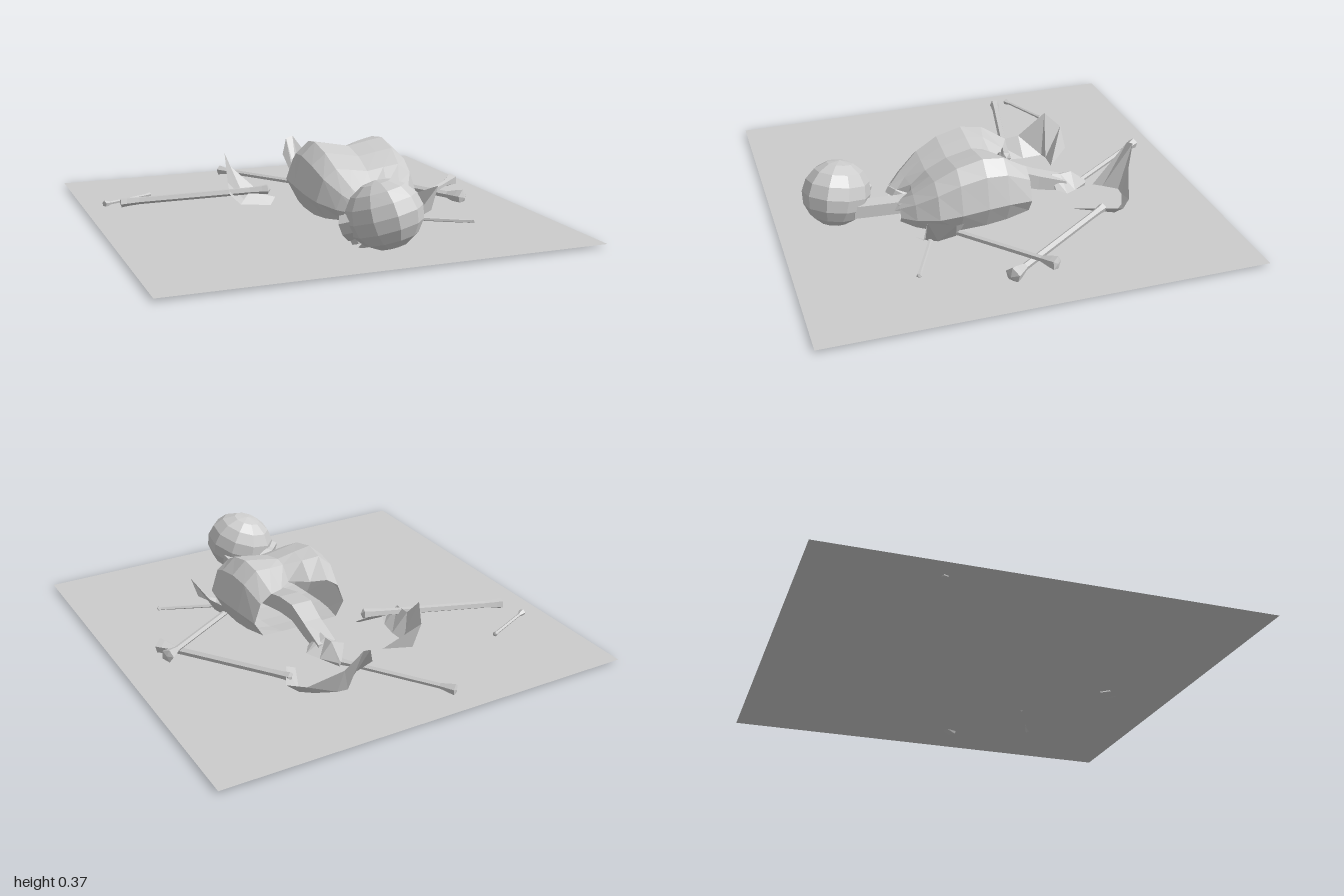
import * as THREE from 'three';

const bone = new THREE.MeshStandardMaterial({ color: 0xcccccc, flatShading: true, side: THREE.DoubleSide });
bone.name = 'pale grey';

const V = (p) => new THREE.Vector3(...p);

function add(parent, name, geo) {
  const m = new THREE.Mesh(geo, bone);
  m.name = name;
  parent.add(m);
  return m;
}

// Skin a list of cross-sections (each a list of points) into a faceted surface
function loft(rows, closed = false, caps = false) {
  const n = rows[0].length, pos = rows.flat(2), idx = [];
  for (let i = 0; i < rows.length - 1; i++)
    for (let j = 0; j < (closed ? n : n - 1); j++) {
      const a = i * n + j, b = i * n + (j + 1) % n;
      idx.push(a, b, a + n, b, b + n, a + n);
    }
  if (caps) for (const o of [0, (rows.length - 1) * n])
    for (let j = 1; j < n - 1; j++) o ? idx.push(o, o + j, o + j + 1) : idx.push(o, o + j + 1, o + j);
  const g = new THREE.BufferGeometry();
  g.setAttribute('position', new THREE.Float32BufferAttribute(pos, 3));
  g.setIndex(idx);
  g.computeVertexNormals();
  return g;
}

// Long bone with swollen ends, running from a to b
function longBone(parent, name, a, b, r, endA, endB) {
  const A = V(a), d = V(b).sub(A), L = d.length();
  const profile = [[0, 0], [endA, 0.01], [endA * 0.85, 0.05], [r, 0.13], [r, 0.86], [endB * 0.85, 0.94], [endB, 0.98], [0, 1]];
  const geo = new THREE.LatheGeometry(profile.map(([x, y]) => new THREE.Vector2(x, y * L)), 5);
  const m = add(parent, name, geo);
  m.position.copy(A);
  m.quaternion.setFromUnitVectors(new THREE.Vector3(0, 1, 0), d.normalize());
}

export function createModel() {
  const g = new THREE.Group();
  g.name = 'skeleton on ground';

  const ground = add(g, 'ground', new THREE.PlaneGeometry(2, 2));
  ground.rotation.x = -Math.PI / 2;
  ground.position.y = 0.02;

  // Rib cage: open at both ends, two humps with a shallow groove between
  // z, half width, top y, bottom y, rim shift at the middle
  const cx = 0.165;
  const ribs = [
    [-0.115, 0.235, 0.29, 0.07, 0.11], [0.0, 0.265, 0.362, 0.05, 0.05], [0.1, 0.275, 0.375, 0.04, 0],
    [0.22, 0.27, 0.345, 0.035, 0], [0.32, 0.25, 0.29, 0.045, 0], [0.41, 0.19, 0.22, 0.06, -0.02],
    [0.47, 0.13, 0.17, 0.08, -0.07],
  ];
  // Across fraction, up fraction, share of the rim shift
  const half = [[0.32, 0.96, 0.35], [0.62, 1, 0], [0.86, 0.82, 0], [1, 0.4, 0], [0.82, 0.08, 0], [0.35, 0, 0.2]];
  const ring = [[0, 0.91, 1], ...half, ...half.slice().reverse().map(([x, y, s]) => [-x, y, s])];
  add(g, 'ribCage', loft(ribs.map(([z, w, t, b, s]) =>
    ring.map(([x, y, k]) => [cx + x * w, b + y * (t - b), z + k * s])), true));

  // Spine and neck: square sections, z, centre y, half width, half height
  const spine = [[-0.36, 0.09, 0.045, 0.025], [-0.22, 0.13, 0.045, 0.035], [-0.12, 0.17, 0.05, 0.04],
    [0.0, 0.16, 0.05, 0.04], [0.2, 0.11, 0.045, 0.035], [0.45, 0.11, 0.035, 0.03], [0.66, 0.12, 0.035, 0.03]];
  add(g, 'spine', loft(spine.map(([z, y, w, h]) =>
    [[1, 1], [-1, 1], [-1, -1], [1, -1]].map(([i, j]) => [0.16 + i * w, y + j * h, z])), true, true));

  // Sacrum: arrow-shaped end of the spine
  add(g, 'sacrum', loft([[-0.3, 0.065, 0.14, 0.07], [-0.345, 0.098, 0.135, 0.06], [-0.4, 0.06, 0.14, 0.05], [-0.475, 0.008, 0.08, 0.05]]
    .map(([z, w, t, b]) => [[0.16 + w, b + 0.02, z], [0.16, t, z], [0.16 - w, b + 0.02, z], [0.16, b, z]]), true, true));

  // Collar bones
  for (const s of [-1, 1]) {
    const lobe = [[0.03, 0.13, 0.40], [0.05, 0.16, 0.45], [0.09, 0.165, 0.475], [0.12, 0.17, 0.44]];
    add(g, 'collarBone', loft(lobe.map(([x, y, z], i) =>
      [[cx + s * x, y, z], [cx + s * (x + 0.015), y + 0.02, z - 0.035], [cx + s * x, y - 0.03, z + (i % 3 ? 0.015 : 0)]]), true, true));
  }

  // Shoulder blade sticking out beside the ribs
  add(g, 'shoulderBlade', loft([
    [[0.40, 0.1, 0.2], [0.38, 0.03, 0.24]],
    [[0.455, 0.13, 0.26], [0.4, 0.03, 0.33]],
    [[0.488, 0.19, 0.4], [0.37, 0.03, 0.38]],
    [[0.45, 0.08, 0.41], [0.35, 0.04, 0.42]],
  ]));

  // Broken hip halves: bent blades between a raised rim and a low rim
  add(g, 'hipBoneRight', loft([
    [[-0.2, 0.07, -0.515], [-0.11, 0.03, -0.405]],
    [[-0.25, 0.17, -0.505], [-0.2, 0.03, -0.41]],
    [[-0.285, 0.24, -0.43], [-0.235, 0.03, -0.4]],
    [[-0.31, 0.12, -0.3], [-0.23, 0.03, -0.3]],
    [[-0.34, 0.09, -0.17], [-0.25, 0.025, -0.2]],
    [[-0.29, 0.04, -0.155], [-0.23, 0.09, -0.2]],
    [[-0.145, 0.03, -0.13], [-0.11, 0.06, -0.165]],
  ]));
  add(g, 'hipBoneLeft', loft([
    [[0.11, 0.16, -0.665], [0.13, 0.03, -0.53]],
    [[0.14, 0.24, -0.695], [0.16, 0.03, -0.57]],
    [[0.18, 0.25, -0.705], [0.21, 0.03, -0.63]],
    [[0.245, 0.15, -0.66], [0.26, 0.03, -0.625]],
    [[0.395, 0.08, -0.6], [0.35, 0.03, -0.585]],
    [[0.465, 0.08, -0.54], [0.395, 0.02, -0.53]],
    [[0.375, 0.06, -0.37], [0.32, 0.03, -0.355]],
  ]));

  // Scattered limb bones
  longBone(g, 'thighBoneRight', [-0.18, 0.05, -0.89], [0.15, 0.05, -0.41], 0.013, 0.026, 0.02);
  longBone(g, 'shinBoneRight', [-0.84, 0.055, -0.35], [-0.13, 0.1, -0.175], 0.018, 0.026, 0.026);
  longBone(g, 'thighBoneLeft', [0.4, 0.065, -0.47], [0.785, 0.04, 0.12], 0.017, 0.022, 0.04);
  longBone(g, 'upperArmLeft', [0.82, 0.09, -0.08], [0.3, 0.045, 0.3], 0.014, 0.032, 0.025);
  longBone(g, 'forearmRight', [-0.9, 0.03, -0.435], [-0.64, 0.03, -0.55], 0.008, 0.018, 0.012);
  longBone(g, 'forearmLeft', [0.36, 0.035, 0.35], [0.64, 0.025, 0.485], 0.009, 0.02, 0.012);

  // Skull, turned to face backwards and down
  const skull = new THREE.Group();
  skull.name = 'skull';
  skull.position.set(0.07, 0.17, 0.715);
  skull.rotation.set(0.3, -2.3, 0, 'YXZ');
  g.add(skull);
  const cranium = add(skull, 'cranium', new THREE.SphereGeometry(1, 10, 8));
  cranium.scale.set(0.152, 0.152, 0.172);

  // Face plate with eye sockets and nose opening
  const outline = [[-0.03, -0.075], [-0.075, -0.035], [-0.085, 0.015], [-0.05, 0.045], [0, 0.035],
    [0.05, 0.045], [0.085, 0.015], [0.075, -0.035], [0.03, -0.075]];
  const poly = (pts, T) => new T(pts.map(([x, y]) => new THREE.Vector2(x, y)));
  const face = poly(outline, THREE.Shape);
  for (const s of [-1, 1])
    face.holes.push(poly([[0.015, 0.005], [0.04, 0.022], [0.065, 0.008], [0.058, -0.022], [0.025, -0.022]].map(([x, y]) => [x * s, y]), THREE.Path));
  face.holes.push(poly([[0, -0.022], [0.014, -0.048], [-0.014, -0.048]], THREE.Path));
  add(skull, 'face', new THREE.ExtrudeGeometry(face, { depth: 0.075, bevelEnabled: false })).position.z = 0.105;

  // Upper teeth and lower jaw
  add(skull, 'upperTeeth', new THREE.CylinderGeometry(0.04, 0.035, 0.03, 7)).position.set(0, -0.08, 0.145);
  add(skull, 'jaw', loft([[-0.06, 0.065, 0.03, 0.06], [-0.095, 0.06, 0.05, 0.12], [-0.118, 0.035, 0.08, 0.155]]
    .map(([y, w, z0, z1]) => [[w, y, z0], [w * 0.6, y, z1], [-w * 0.6, y, z1], [-w, y, z0]]), true, true));

  return g;
}
